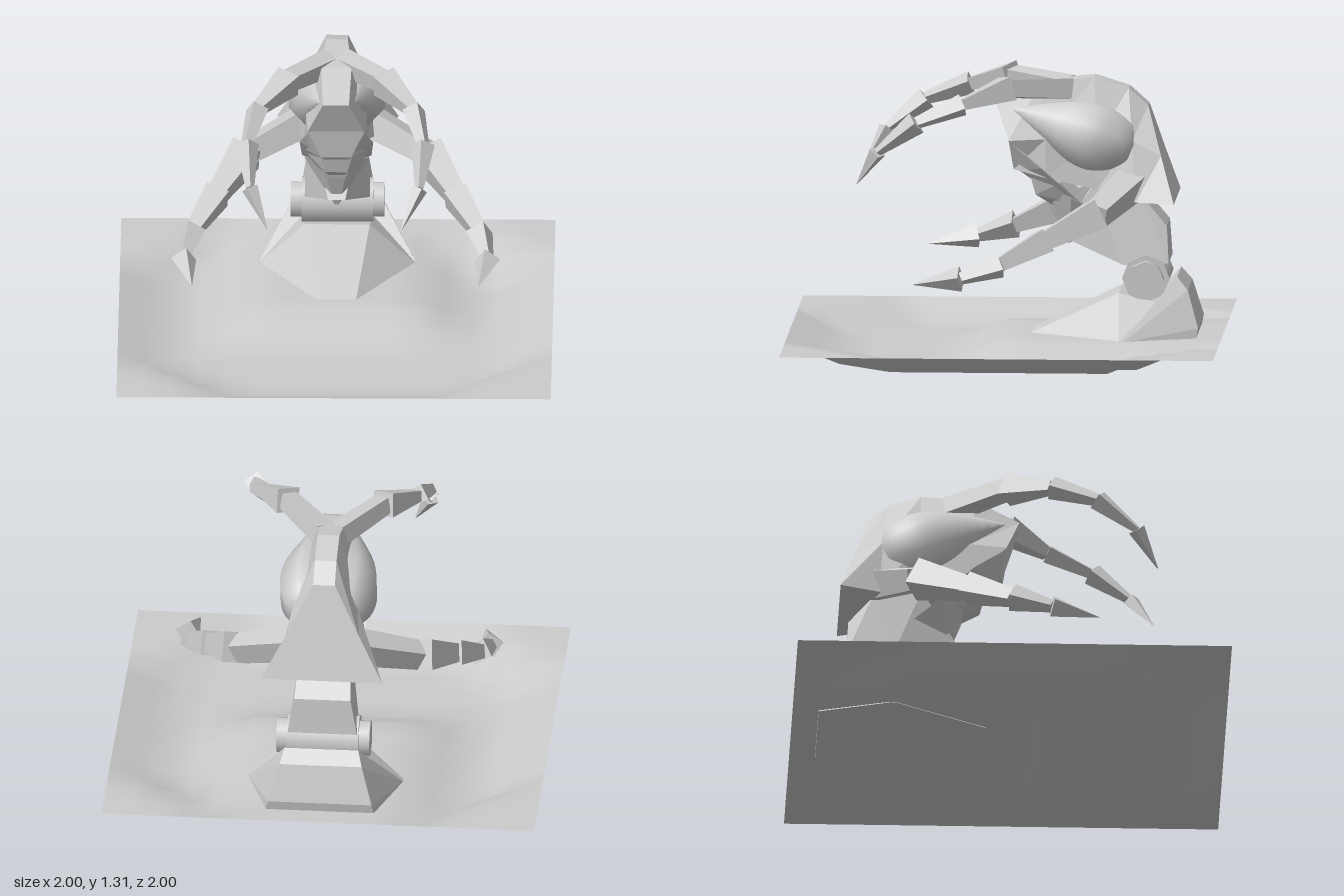
import * as THREE from 'three';
import { ConvexGeometry } from 'three/addons/geometries/ConvexGeometry.js';

const flat = new THREE.MeshStandardMaterial({ color: 0xcccccc, flatShading: true });
const smooth = new THREE.MeshStandardMaterial({ color: 0xcccccc });
const sheet = new THREE.MeshStandardMaterial({ color: 0xcccccc, side: THREE.DoubleSide });
const V = (p) => new THREE.Vector3(...p);

function add(parent, name, geometry, material = flat) {
  const mesh = new THREE.Mesh(geometry, material);
  mesh.name = name;
  parent.add(mesh);
  return mesh;
}

// faceted solid from half its corners, mirrored across x
function hull(parent, name, half) {
  const pts = half.flatMap(([x, y, z]) => [V([x, y, z]), V([-x, y, z])]);
  return add(parent, name, new ConvexGeometry(pts));
}

// four-sided tapering segment between two joints
function segment(parent, name, a, b, r0, r1) {
  const from = V(a), dir = V(b).sub(from), length = dir.length();
  const g = new THREE.CylinderGeometry(r1, r0, length, 4);
  g.translate(0, length / 2, 0);
  const mesh = add(parent, name, g);
  mesh.position.copy(from);
  mesh.quaternion.setFromUnitVectors(new THREE.Vector3(0, 1, 0), dir.normalize());
}

// jointed limb: every segment starts with a flare and tapers to the next joint
function limb(parent, name, joints, radii) {
  for (const side of [1, -1]) {
    const group = new THREE.Group();
    group.name = (side > 0 ? 'left' : 'right') + name;
    const p = joints.map(([x, y, z]) => [x * side, y, z]);
    radii.forEach(([r0, r1], i) =>
      segment(group, i === radii.length - 1 ? 'claw' : 'limbSegment', p[i], p[i + 1], r0, r1));
    parent.add(group);
  }
}

// loft through rows of [halfWidth, y, z] corners running from the ridge to the belly
function loft(sections) {
  const pos = [], index = [], half = sections[0].length, n = half * 2;
  for (const s of sections) {
    for (const [x, y, z] of s) pos.push(x, y, z);
    for (const [x, y, z] of [...s].reverse()) pos.push(-x, y, z);
  }
  for (let i = 0; i < sections.length - 1; i++) {
    for (let j = 0; j < n; j++) {
      const a = i * n + j, b = i * n + (j + 1) % n, c = a + n, d = b + n;
      index.push(a, b, c, b, d, c);
    }
  }
  // end caps, made of bands between the two sides
  const last = (sections.length - 1) * n;
  for (let j = 0; j < half - 1; j++) {
    const a = j, b = j + 1, c = n - 2 - j, d = n - 1 - j;
    index.push(a, c, b, a, d, c);
    index.push(last + a, last + b, last + c, last + a, last + c, last + d);
  }
  const g = new THREE.BufferGeometry();
  g.setAttribute('position', new THREE.Float32BufferAttribute(pos, 3));
  g.setIndex(index);
  g.computeVertexNormals();
  return g;
}

export function createModel() {
  const model = new THREE.Group();
  model.name = 'clawedCreature';

  // ground: raised rim and corners, a dip inside, and a low plateau under the pedestal
  const ramp = (v, from, to) => THREE.MathUtils.clamp((v - from) / (to - from), 0, 1);
  const ground = new THREE.PlaneGeometry(2, 2, 16, 16).rotateX(-Math.PI / 2);
  const gp = ground.attributes.position;
  for (let i = 0; i < gp.count; i++) {
    const x = Math.abs(gp.getX(i)), z = gp.getZ(i);
    const rim = Math.max(ramp(Math.max(x, Math.abs(z)), 0.75, 1), ramp(x + Math.abs(z), 1.25, 1.5));
    const plateau = 0.95 * ramp(x, 0.6, 0.37) * ramp(z, 0.25, 0);
    gp.setY(i, 0.1 * Math.max(rim, plateau));
  }
  ground.computeVertexNormals();
  add(model, 'ground', ground, sheet);

  // pedestal: pointed front ramp and raised back rest cradle the hinge
  hull(model, 'pedestalFront', [
    [0.15, 0.29, -0.52], [0.09, 0.09, -0.1], [0.36, 0.09, -0.53], [0.17, 0.25, -0.7], [0.26, 0.09, -0.85],
  ]);
  hull(model, 'pedestalBack', [
    [0.17, 0.37, -0.79], [0.19, 0.31, -0.84], [0.24, 0.14, -0.89], [0.25, 0.09, -0.88], [0.17, 0.24, -0.7], [0.36, 0.09, -0.55],
  ]);

  // hinge barrel and its end caps
  for (const [name, r, len] of [['hingeBarrel', 0.11, 0.33], ['hingeCaps', 0.085, 0.43]]) {
    const g = new THREE.CylinderGeometry(r, r, len, 8).rotateZ(Math.PI / 2);
    add(model, name, g, smooth).position.set(0, 0.36, -0.645);
  }

  // waist rising from the hinge into the body
  hull(model, 'waist', [
    [0.15, 0.42, -0.54], [0.16, 0.43, -0.75], [0.13, 0.6, -0.74], [0.12, 0.73, -0.63], [0.1, 0.78, -0.4], [0.04, 0.54, -0.24], [0.1, 0.62, -0.42],
  ]);

  // hooded body from snout to flared tail
  add(model, 'hoodedBody', loft([
    [[0.06, 1.15, 0.05], [0.13, 0.99, -0.01], [0.07, 0.85, -0.03]],
    [[0.07, 1.25, -0.15], [0.14, 1.0, -0.18], [0.14, 0.82, -0.18]],
    [[0.05, 1.28, -0.4], [0.14, 1.0, -0.42], [0.15, 0.77, -0.42]],
    [[0.05, 1.23, -0.56], [0.15, 1.0, -0.58], [0.21, 0.72, -0.6]],
    [[0.05, 1.15, -0.65], [0.165, 0.93, -0.715], [0.28, 0.72, -0.78]],
  ]));

  // overlapping throat plates tapering down to a point
  const plates = [
    [[0.13, 0.97, -0.03], [0.17, 0.87, -0.16], [0.06, 0.84, -0.06], [0.16, 0.73, -0.32], [0.05, 0.74, -0.2]],
    [[0.08, 0.85, -0.1], [0.16, 0.8, -0.25], [0.05, 0.73, -0.13], [0.14, 0.69, -0.36], [0.03, 0.65, -0.26]],
    [[0.08, 0.76, -0.19], [0.15, 0.73, -0.3], [0.04, 0.66, -0.22], [0.1, 0.6, -0.48], [0.01, 0.5, -0.28]],
  ];
  plates.forEach((p) => hull(model, 'throatPlate', p));

  // teardrop pods on both flanks
  const profile = [[0, 0], [0.085, 0.015], [0.135, 0.07], [0.162, 0.15], [0.166, 0.23], [0.14, 0.34], [0.075, 0.48], [0.001, 0.615]];
  const curve = new THREE.SplineCurve(profile.map(([r, y]) => new THREE.Vector2(r, y)));
  const podGeometry = new THREE.LatheGeometry(curve.getPoints(20).map((p) => p.set(Math.max(p.x, 0), p.y)), 8, Math.PI / 8);
  for (const side of [1, -1]) {
    const pod = add(model, side > 0 ? 'leftPod' : 'rightPod', podGeometry, smooth);
    pod.position.set(0.075 * side, 0.94, -0.595);
    pod.rotation.x = Math.atan2(0.57, 0.19);
    pod.scale.x = 0.95;
  }

  // upper pair of limbs, reaching forward and curling down
  limb(model, 'UpperLimb', [
    [0.03, 1.22, -0.28], [0.22, 1.245, -0.01], [0.36, 1.19, 0.19], [0.405, 1.11, 0.4], [0.39, 0.97, 0.58], [0.31, 0.81, 0.68],
  ], [[0.065, 0.055], [0.08, 0.035], [0.055, 0.03], [0.055, 0.02], [0.04, 0.002]]);

  // lower pair of limbs, spreading wide and low
  limb(model, 'LowerLimb', [
    [0.13, 0.8, -0.58], [0.42, 0.69, -0.43], [0.55, 0.585, -0.2], [0.66, 0.49, 0], [0.7, 0.43, 0.18], [0.66, 0.395, 0.4],
  ], [[0.09, 0.07], [0.1, 0.06], [0.08, 0.045], [0.065, 0.03], [0.06, 0.002]]);

  return model;
}
